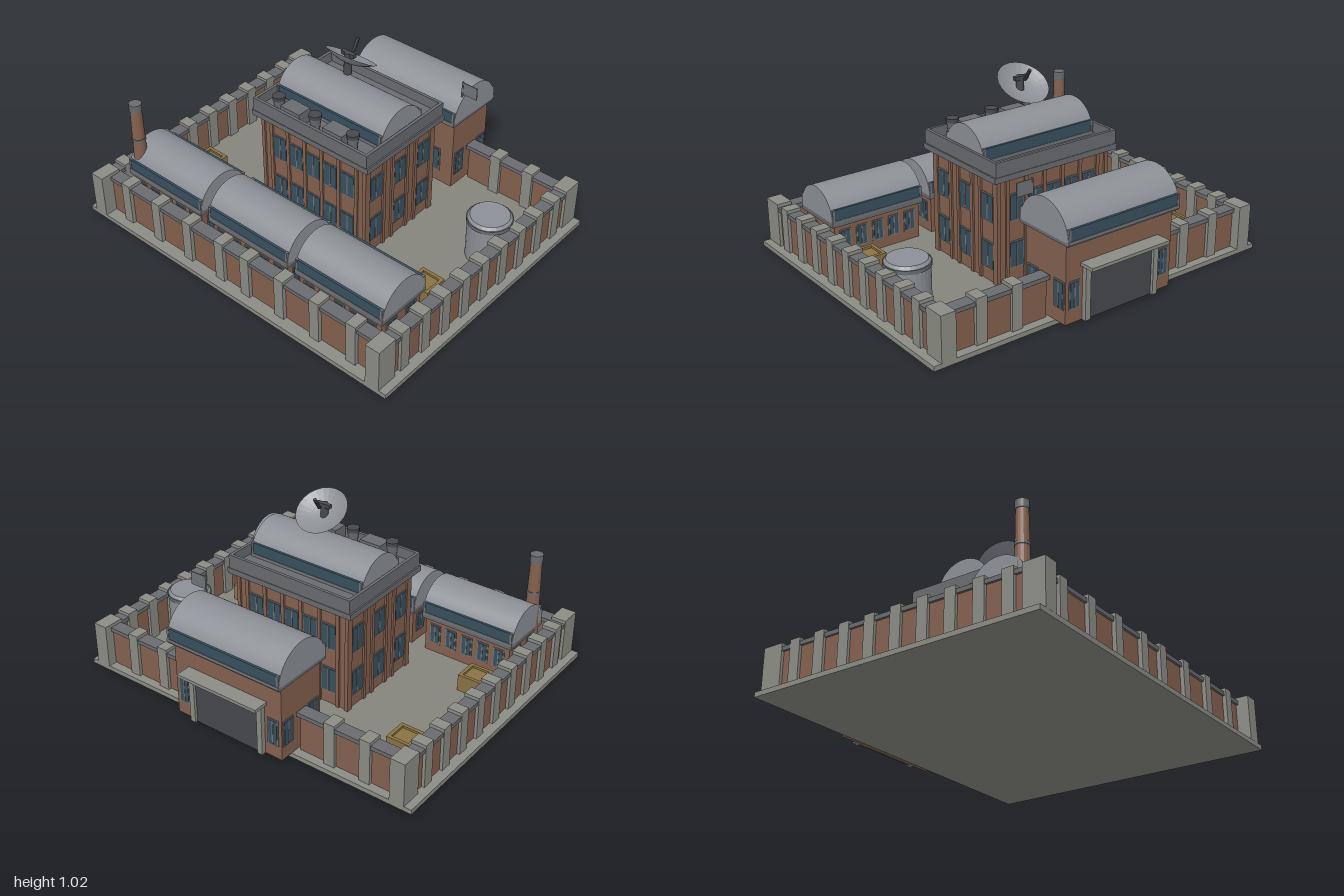
import * as THREE from 'three';

const mat = (color) => new THREE.MeshStandardMaterial({ color, side: THREE.DoubleSide, flatShading: true });

export function createModel() {
  const root = new THREE.Group();
  const M = {
    brick: mat(0x84614f), concrete: mat(0x8b8c85), ground: mat(0x85857d), cap: mat(0x696b6f),
    roof: mat(0x8c9096), glass: mat(0x38505f), frame: mat(0x707478), dark: mat(0x47484d), crate: mat(0x8a7344),
  };
  const add = (parent, name, geo, m, x = 0, y = 0, z = 0) => {
    const mesh = new THREE.Mesh(geo, M[m]);
    mesh.name = name;
    mesh.position.set(x, y, z);
    parent.add(mesh);
    return mesh;
  };
  const group = (name) => {
    const g = new THREE.Group();
    g.name = name;
    root.add(g);
    return g;
  };
  // Box given by its limits on each axis
  const box = (p, name, m, x0, x1, y0, y1, z0, z1) =>
    add(p, name, new THREE.BoxGeometry(x1 - x0, y1 - y0, z1 - z0), m, (x0 + x1) / 2, (y0 + y1) / 2, (z0 + z1) / 2);
  const cyl = (p, name, m, x, y0, y1, z, r0, r1 = r0, n = 20) =>
    add(p, name, new THREE.CylinderGeometry(r1, r0, y1 - y0, n), m, x, (y0 + y1) / 2, z);

  // Half-round roof along x, with a glazed strip and small posts on both sides
  const barrelRoof = (p, x, y, z, length, r) => {
    const s = new THREE.Shape();
    s.absarc(0, 0, r, 0, Math.PI, false);
    s.closePath();
    const geo = new THREE.ExtrudeGeometry(s, { depth: length, bevelEnabled: false, curveSegments: 16 });
    geo.translate(0, 0, -length / 2).rotateY(Math.PI / 2);
    add(p, 'barrelRoof', geo, 'roof', x, y, z);
    for (const side of [-1, 1]) {
      const zs = z + side * (r - 0.006), w = length / 2;
      box(p, 'roofGlazing', 'glass', x - w + 0.012, x + w - 0.012, y + 0.005, y + 0.07, zs - 0.006, zs + 0.006);
      box(p, 'glazingSill', 'frame', x - w, x + w, y - 0.005, y + 0.012, zs - 0.009, zs + 0.009);
      for (const e of [-1, 1])
        box(p, 'glazingPost', 'frame', x + e * (w - 0.008) - 0.006, x + e * (w - 0.008) + 0.006, y, y + 0.07, zs - 0.008, zs + 0.008);
    }
  };

  // Framed window with a mullion; axis tells which way it faces, at plane d
  const windowAt = (p, axis, u, d, y, w, h) => {
    const part = (name, m, a, b, t, du = 0) => {
      const size = axis === 'z' ? [a, b, t] : [t, b, a];
      const at = axis === 'z' ? [u + du, y, d] : [d, y, u + du];
      add(p, name, new THREE.BoxGeometry(...size), m, ...at);
    };
    part('windowFrame', 'frame', w + 0.014, h + 0.014, 0.008);
    part('windowGlass', 'glass', w, h, 0.013);
    part('windowMullion', 'frame', 0.007, h, 0.017);
  };

  // Base slab
  const base = group('base');
  box(base, 'slab', 'concrete', -1, 1, 0, 0.025, -0.715, 0.865);
  box(base, 'yard', 'ground', -0.9, 0.9, 0.025, 0.03, -0.64, 0.77);

  // Perimeter walls with copings and pillars
  const wall = group('perimeterWall');
  const run = (x0, x1, z0, z1) => {
    box(wall, 'wallBrick', 'brick', x0 + 0.012, x1 - 0.012, 0.025, 0.22, z0 + 0.012, z1 - 0.012);
    box(wall, 'wallCoping', 'cap', x0, x1, 0.22, 0.242, z0, z1);
  };
  const pillar = (x, z, w, d) => box(wall, 'wallPillar', 'concrete', x - w / 2, x + w / 2, 0.025, 0.26, z - d / 2, z + d / 2);
  run(-0.92, 0.92, 0.74, 0.81);
  for (const s of [-1, 1]) {
    run(...(s < 0 ? [-0.92, -0.33] : [0.33, 0.92]), -0.68, -0.61);
    run(s * 0.92 - 0.036, s * 0.92 + 0.036, -0.66, 0.8);
    pillar(s * 0.92, 0.808, 0.08, 0.115);
    pillar(s * 0.92, -0.66, 0.08, 0.115);
    for (const x of [0.086, 0.31, 0.532, 0.754]) pillar(s * x, 0.778, 0.058, 0.082);
    for (const x of [0.52, 0.72]) pillar(s * x, -0.645, 0.06, 0.08);
    for (let i = 0; i < 9; i++) pillar(s * 0.92, -0.52 + i * 0.15, 0.08, 0.06);
  }

  // Three halls in a row at the front
  for (const x of [-0.583, 0, 0.578]) {
    const hall = group('frontHall');
    box(hall, 'hallWalls', 'brick', x - 0.25, x + 0.25, 0.03, 0.235, 0.41, 0.69);
    box(hall, 'hallCornice', 'cap', x - 0.265, x + 0.265, 0.225, 0.248, 0.393, 0.707);
    barrelRoof(hall, x, 0.247, 0.55, 0.53, 0.154);
    for (let i = -2; i <= 2; i++)
      for (const z of [0.41, 0.69]) windowAt(hall, 'z', x + i * 0.095, z, 0.14, 0.05, 0.1);
    for (const e of [-1, 1])
      for (const z of [0.48, 0.62]) windowAt(hall, 'x', z, x + e * 0.25, 0.14, 0.06, 0.1);
  }

  // Chimney
  const chimney = group('chimney');
  cyl(chimney, 'stack', 'brick', -0.813, 0.03, 0.62, 0.652, 0.042, 0.03, 16);
  cyl(chimney, 'stackBand', 'cap', -0.813, 0.43, 0.445, 0.652, 0.037, 0.037, 16);
  cyl(chimney, 'stackCap', 'cap', -0.813, 0.61, 0.652, 0.652, 0.033, 0.033, 16);

  // Central building: brick block, pilasters, windows
  const main = group('mainBuilding');
  box(main, 'mainWalls', 'brick', -0.335, 0.335, 0.03, 0.59, -0.29, 0.225);
  for (const y of [0.17, 0.42]) {
    for (const z of [-0.29, 0.225])
      for (let i = -2; i <= 2; i++) windowAt(main, 'z', i * 0.112, z, y, 0.08, 0.13);
    for (const x of [-0.335, 0.335])
      for (const z of [0.15, -0.033, -0.215]) windowAt(main, 'x', z, x, y, 0.085, 0.13);
  }
  const pilaster = (x, z, w) => box(main, 'pilaster', 'brick', x - w / 2, x + w / 2, 0.03, 0.585, z - w / 2, z + w / 2);
  for (const z of [-0.29, 0.225])
    for (const x of [-0.335, -0.28, -0.168, -0.056, 0.056, 0.168, 0.28, 0.335]) pilaster(x, z, 0.02);
  for (const x of [-0.335, 0.335])
    for (const z of [-0.275, -0.155, -0.09, 0.025, 0.09, 0.21]) pilaster(x, z, 0.02);

  // Cornice, roof deck and hollow parapet
  box(main, 'cornice', 'cap', -0.378, 0.378, 0.582, 0.612, -0.328, 0.265);
  box(main, 'roofDeck', 'cap', -0.36, 0.36, 0.61, 0.63, -0.31, 0.25);
  for (const s of [-1, 1]) {
    box(main, 'parapetSide', 'cap', s * 0.362 - 0.008, s * 0.362 + 0.008, 0.61, 0.685, -0.325, 0.262);
    const z = s < 0 ? -0.317 : 0.254;
    box(main, 'parapet', 'cap', -0.354, 0.354, 0.61, 0.685, z - 0.008, z + 0.008);
  }
  barrelRoof(main, 0, 0.635, -0.033, 0.68, 0.155);

  // Rooftop vents and machinery
  for (const x of [-0.24, 0, 0.24]) {
    cyl(main, 'vent', 'cap', x, 0.63, 0.71, 0.21, 0.022, 0.03, 14);
    cyl(main, 'ventCap', 'dark', x, 0.71, 0.73, 0.21, 0.033, 0.033, 14);
  }
  for (const x of [-0.137, 0.137]) box(main, 'roofUnit', 'cap', x - 0.062, x + 0.062, 0.63, 0.705, 0.162, 0.245);

  // Dish on its mast, tilted up and backwards
  const dish = group('dishAntenna');
  cyl(dish, 'mast', 'dark', 0, 0.847, 0.965, -0.03, 0.022, 0.018, 12);
  box(dish, 'mastHead', 'dark', -0.04, 0.04, 0.945, 0.965, -0.046, -0.024);
  const profile = [];
  for (let i = 0; i <= 6; i++) profile.push(new THREE.Vector2((0.134 * i) / 6 + 0.0001, -0.04 * (1 - (i / 6) ** 2)));
  const bowl = add(dish, 'bowl', new THREE.LatheGeometry(profile, 24), 'roof', 0, 0.934, -0.055);
  bowl.rotation.x = -0.57;
  const feed = add(dish, 'feed', new THREE.CylinderGeometry(0.009, 0.009, 0.07, 10), 'dark', 0, 0.982, -0.088);
  feed.rotation.x = -0.57;

  // Gatehouse at the back
  const gate = group('gatehouse');
  box(gate, 'gateWalls', 'brick', -0.325, 0.325, 0.025, 0.45, -0.785, -0.495);
  box(gate, 'gateCornice', 'cap', -0.34, 0.34, 0.435, 0.452, -0.815, -0.468);
  barrelRoof(gate, 0, 0.448, -0.643, 0.68, 0.174);
  box(gate, 'gateDoor', 'dark', -0.2, 0.2, 0.025, 0.28, -0.795, -0.78);
  for (const s of [-1, 1]) {
    box(gate, 'doorJamb', 'concrete', s * 0.21 - 0.015, s * 0.21 + 0.015, 0.025, 0.3, -0.81, -0.78);
    windowAt(gate, 'z', s * 0.275, -0.785, 0.17, 0.05, 0.13);
    for (const z of [-0.74, -0.55]) windowAt(gate, 'x', z, s * 0.325, 0.17, 0.06, 0.13);
    windowAt(gate, 'z', s * 0.2, -0.495, 0.17, 0.08, 0.13);
  }
  box(gate, 'doorLintel', 'concrete', -0.225, 0.225, 0.28, 0.305, -0.81, -0.78);
  box(gate, 'doorCanopy', 'concrete', -0.24, 0.24, 0.305, 0.322, -0.868, -0.78);
  box(gate, 'sidePlate', 'frame', 0.325, 0.418, 0.605, 0.675, -0.547, -0.541);
  box(gate, 'platePost', 'frame', 0.325, 0.333, 0.58, 0.68, -0.549, -0.539);

  // Storage tank
  const tank = group('storageTank');
  cyl(tank, 'tankBody', 'roof', 0.785, 0.03, 0.255, -0.19, 0.112, 0.112, 28);
  cyl(tank, 'tankRim', 'cap', 0.785, 0.245, 0.265, -0.19, 0.117, 0.117, 28);
  cyl(tank, 'tankLid', 'roof', 0.785, 0.265, 0.28, -0.19, 0.112, 0.1, 28);

  // Crates with raised rims
  for (const [x, z] of [[-0.74, -0.38], [-0.74, 0.25], [0.735, 0.25]]) {
    const crate = group('crate');
    box(crate, 'crateBody', 'crate', x - 0.06, x + 0.06, 0.03, 0.11, z - 0.06, z + 0.06);
    for (const s of [-1, 1]) {
      box(crate, 'crateRim', 'crate', x - 0.066, x + 0.066, 0.03, 0.122, z + s * 0.057 - 0.009, z + s * 0.057 + 0.009);
      box(crate, 'crateRim', 'crate', x + s * 0.057 - 0.009, x + s * 0.057 + 0.009, 0.03, 0.122, z - 0.048, z + 0.048);
    }
  }
  return root;
}
